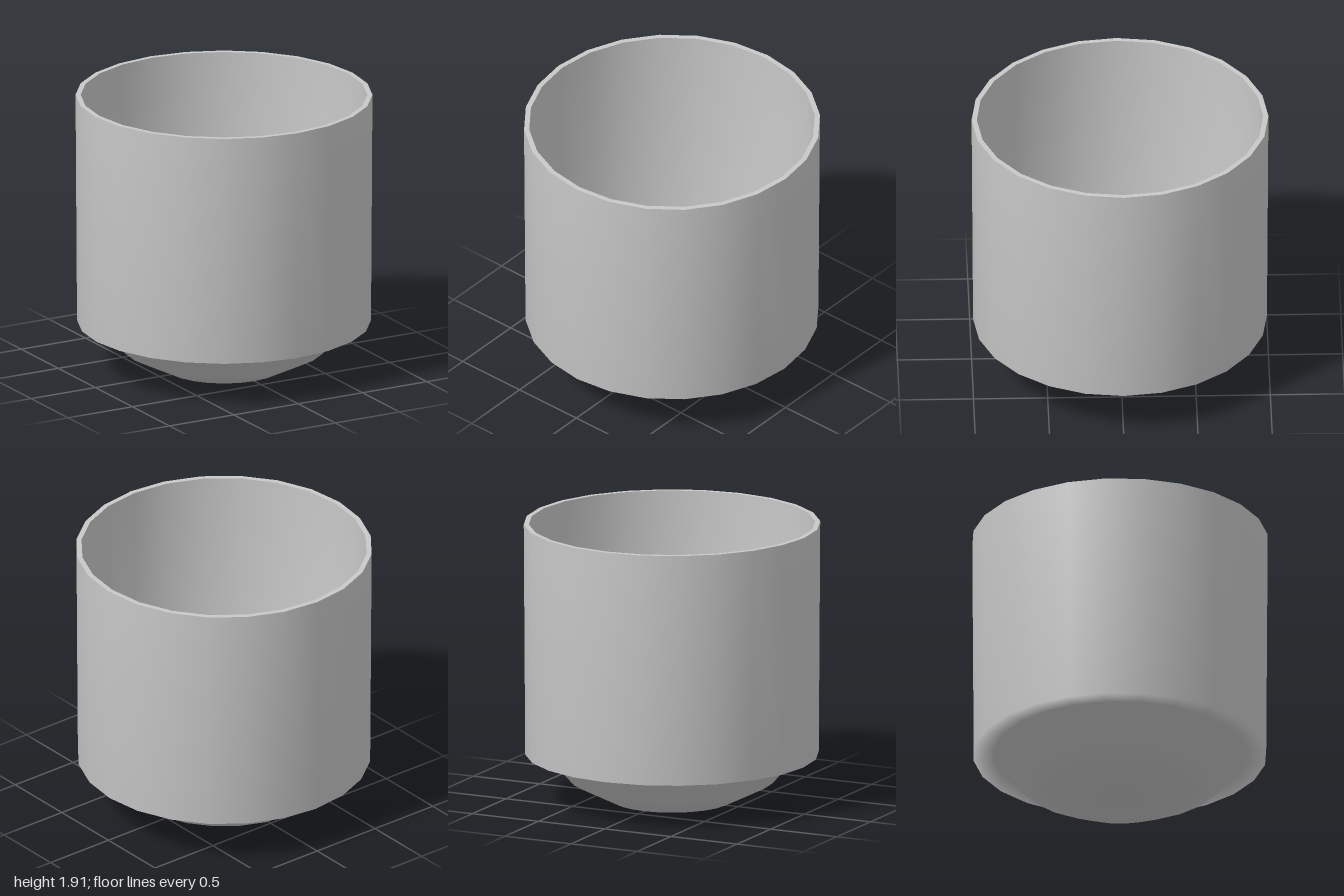
import * as THREE from 'three';

// Revolves a profile of [radius, height] pairs around the y axis.
function revolve(name, profile, material) {
  const points = profile.map(([r, y]) => new THREE.Vector2(r, y));
  const mesh = new THREE.Mesh(new THREE.LatheGeometry(points, 24), material);
  mesh.name = name;
  return mesh;
}

export function createModel() {
  const model = new THREE.Group();
  model.name = 'cup';

  const grey = new THREE.MeshStandardMaterial({ color: 0xc8c8c8 });
  grey.name = 'light grey';

  // Outside: flat foot, tapered bowl, small ledge, straight wall
  model.add(revolve('outerShell', [
    [0, 0], [0.41, 0], [0.69, 0.14], [0.85, 0.32], [0.99, 0.32], [1, 1.91],
  ], grey));

  // Thin flat rim joining the outer and inner walls
  model.add(revolve('rim', [[1, 1.91], [0.965, 1.91]], grey));

  // Inside: straight wall running down into the hollow of the bowl
  model.add(revolve('innerShell', [
    [0.965, 1.91], [0.96, 0.35], [0.83, 0.34], [0.67, 0.17], [0.4, 0.03], [0, 0.03],
  ], grey));

  return model;
}
